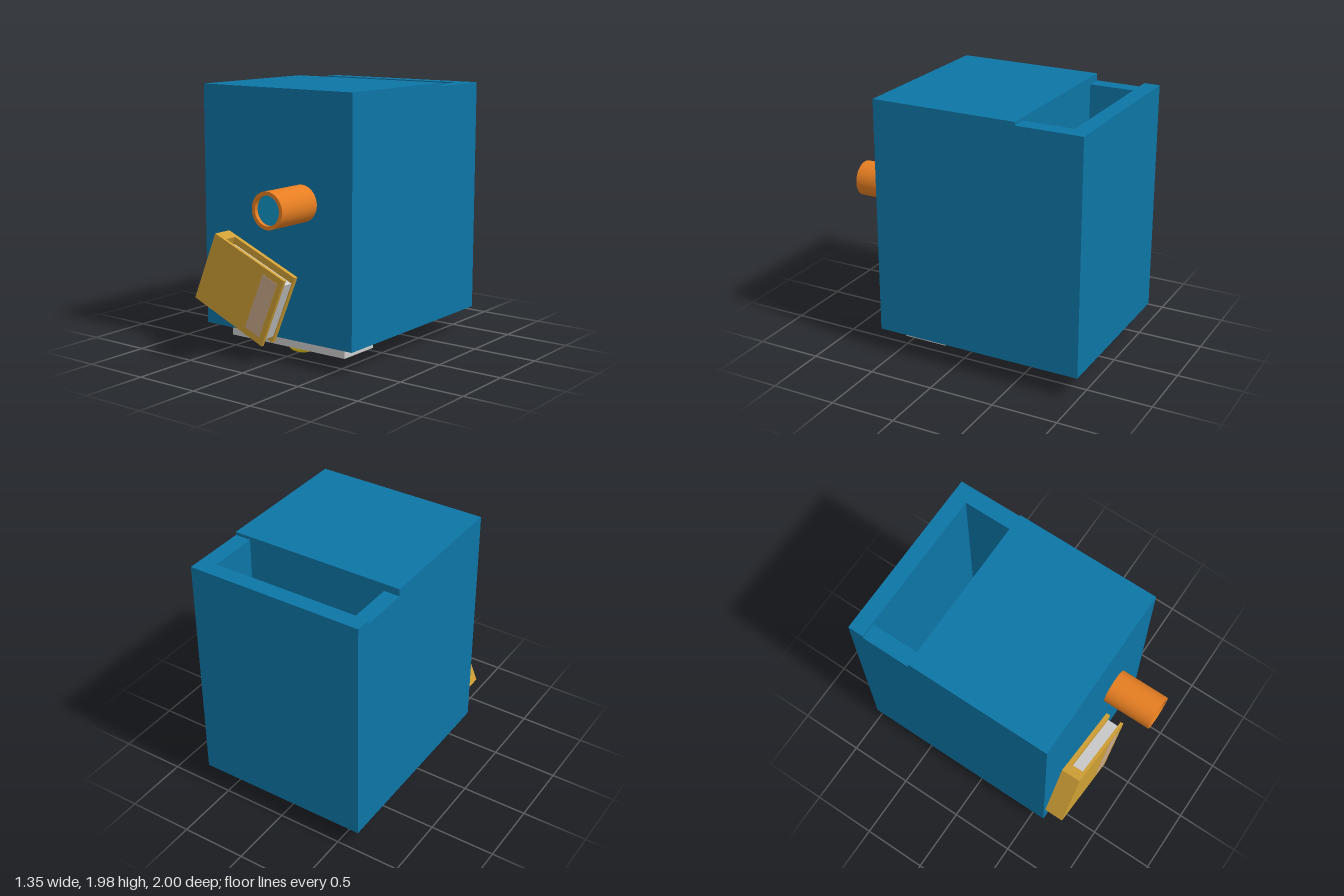
import * as THREE from 'three';

const mat = (color, extra = {}) => new THREE.MeshStandardMaterial({ color, ...extra });
const blue = mat(0x0d75a5);
const glass = mat(0x1296c8);
const orange = mat(0xe67e22);
const gold = mat(0xd0a035);
const grey = mat(0xcccccc);
const yellow = mat(0xf1d21a);
const pane = mat(0xc8a888);

function add(parent, name, geometry, material) {
  const mesh = new THREE.Mesh(geometry, material);
  mesh.name = name;
  parent.add(mesh);
  return mesh;
}

// Box given by its min and max on each axis
function box(parent, name, material, [x0, x1], [y0, y1], [z0, z1]) {
  const mesh = add(parent, name, new THREE.BoxGeometry(x1 - x0, y1 - y0, z1 - z0), material);
  mesh.position.set((x0 + x1) / 2, (y0 + y1) / 2, (z0 + z1) / 2);
  return mesh;
}

export function createModel() {
  const model = new THREE.Group();
  model.name = 'model';

  // Main block with a shaft, open at top and bottom, framed behind it
  const body = new THREE.Group();
  body.name = 'body';
  model.add(body);
  box(body, 'mainBlock', blue, [-0.673, 0.673], [0.18, 1.98], [-0.5, 0.62]);
  box(body, 'rearWall', blue, [-0.673, 0.673], [0.18, 1.955], [-1, -0.88]);
  box(body, 'leftShaftWall', blue, [0.55, 0.673], [0.18, 1.955], [-0.88, -0.5]);
  box(body, 'rightShaftWall', blue, [-0.673, -0.553], [0.18, 1.925], [-0.88, -0.5]);

  // Round spout: hollow tube with a disc set into its mouth
  const spout = new THREE.Group();
  spout.name = 'spout';
  spout.position.set(0.237, 1.185, 0.62);
  model.add(spout);
  const ring = new THREE.Shape().absarc(0, 0, 0.133, 0, Math.PI * 2);
  ring.holes.push(new THREE.Path().absarc(0, 0, 0.106, 0, Math.PI * 2, true));
  add(spout, 'tube', new THREE.ExtrudeGeometry(ring, { depth: 0.38, bevelEnabled: false, curveSegments: 32 }), orange);
  add(spout, 'disc', new THREE.CircleGeometry(0.107, 32), glass).position.z = 0.35;

  // Tilted holder: two plates with a spacer, a card between them and a window
  const holder = new THREE.Group();
  holder.name = 'cardHolder';
  holder.position.set(-0.228, 0.528, 0);
  holder.rotation.z = -Math.PI / 8;
  model.add(holder);
  const w = 0.346, h = 0.275;
  box(holder, 'backPlate', gold, [-w, w], [-h, h], [0.621, 0.655]);
  box(holder, 'frontPlate', gold, [-w, w], [-h, h], [0.75, 0.775]);
  box(holder, 'spacer', gold, [-w, -0.255], [-h, h], [0.655, 0.75]);
  box(holder, 'card', grey, [-0.235, 0.338], [-0.225, 0.225], [0.656, 0.749]);
  box(holder, 'window', pane, [0.16, 0.302], [-0.225, 0.225], [0.752, 0.777]);

  // Slabs under the base, each with a flattened knob
  const feet = [
    { name: 'front', z: 0.325, bottom: 0.08, knobY: 0.053 },
    { name: 'rear', z: -0.195, bottom: 0.108, knobY: 0.13 },
  ];
  for (const { name, z, bottom, knobY } of feet) {
    box(model, name + 'Slab', grey, [-0.527, 0.523], [bottom, 0.181], [z - 0.175, z + 0.175]);
    const knob = add(model, name + 'Knob', new THREE.SphereGeometry(1, 32, 20), yellow);
    knob.scale.set(0.11, 0.05, 0.1);
    knob.position.set(0.01, knobY, name === 'rear' ? -0.222 : z);
  }
  return model;
}
